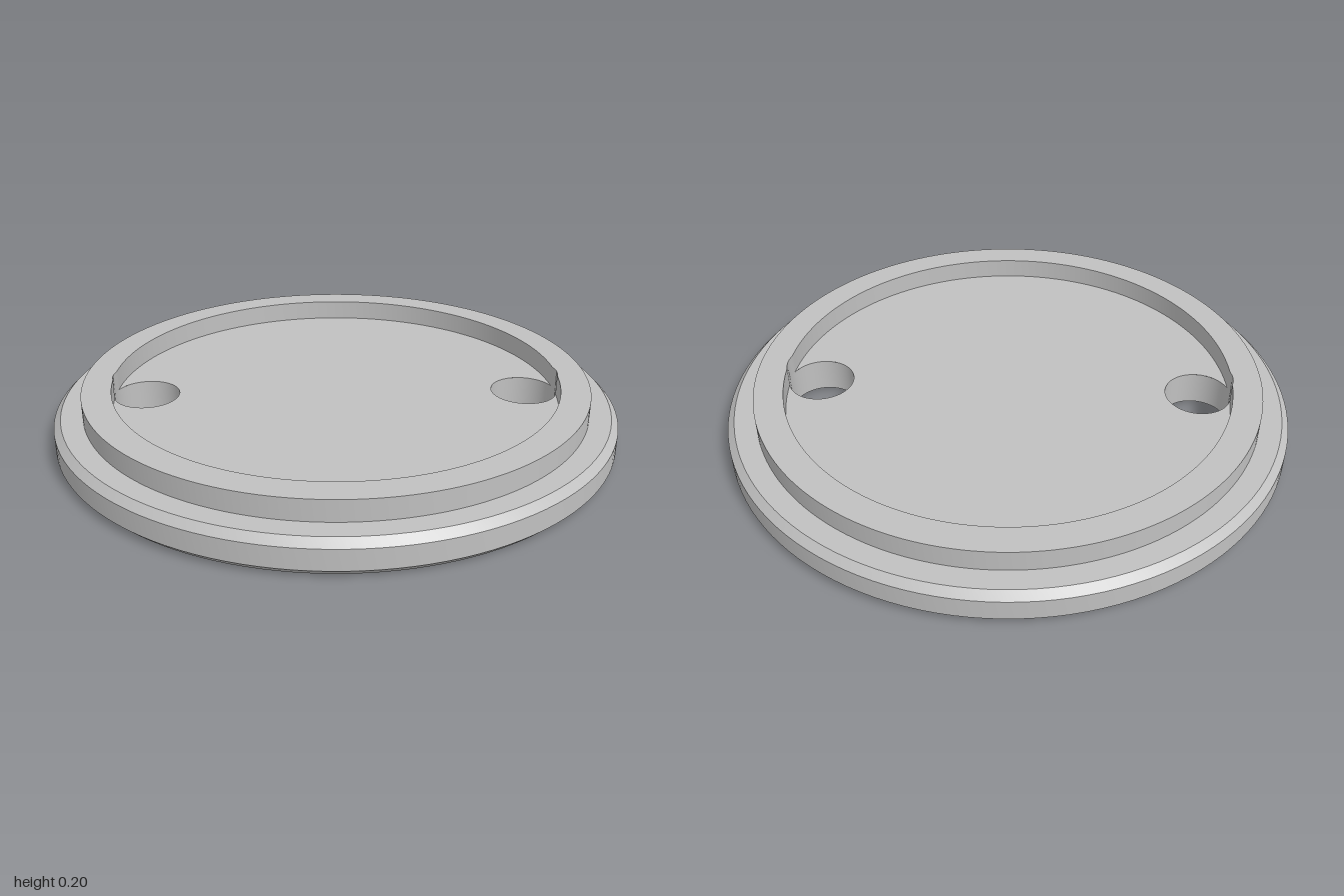
import * as THREE from 'three';
import { toCreasedNormals } from 'three/addons/utils/BufferGeometryUtils.js';

const SEG = 128;
const R = 1, BEVEL = 0.025, PLATE_TOP = 0.122, RING_TOP = 0.196;
const RING_OUTER = 0.9, RING_INNER = 0.797;
const HOLE_R = 0.117, HOLE_POS = [[0.485, -0.485], [-0.485, 0.485]]; // x, z

export function createModel() {
  const model = new THREE.Group();
  model.name = 'roundCover';
  const grey = new THREE.MeshStandardMaterial({ color: 0xc0c0c0 });
  grey.name = 'grey';

  const add = (name, geometry) => {
    const mesh = new THREE.Mesh(geometry, grey);
    mesh.name = name;
    model.add(mesh);
    return mesh;
  };

  // Disc outline pierced by the two holes; sign maps shape y to z
  const discFace = (sign) => {
    const shape = new THREE.Shape().absarc(0, 0, R - BEVEL, 0, Math.PI * 2);
    for (const [x, z] of HOLE_POS) {
      shape.holes.push(new THREE.Path().absarc(x, sign * z, HOLE_R, 0, Math.PI * 2, true));
    }
    return new THREE.ShapeGeometry(shape, SEG / 2).rotateX(-sign * Math.PI / 2);
  };

  // Plate: top and bottom faces with a chamfered rim between them
  add('plateTop', discFace(-1).rotateX(Math.PI).translate(0, PLATE_TOP, 0));
  add('plateBottom', discFace(1).rotateX(Math.PI));
  const rim = [[R - BEVEL, 0], [R, BEVEL], [R, PLATE_TOP - BEVEL], [R - BEVEL, PLATE_TOP]]
    .map(([x, y]) => new THREE.Vector2(x, y));
  add('plateRim', toCreasedNormals(new THREE.LatheGeometry(rim, SEG), 0.5));

  // Hole walls, facing inwards
  for (const [x, z] of HOLE_POS) {
    const wall = [new THREE.Vector2(HOLE_R, PLATE_TOP), new THREE.Vector2(HOLE_R, 0)];
    add('holeWall', new THREE.LatheGeometry(wall, 64)).position.set(x, 0, z);
  }

  // Raised ring, its inside slightly notched where the holes touch it
  const inner = [];
  for (let i = 0; i < SEG * 2; i++) {
    const a = -(i / (SEG * 2)) * Math.PI * 2;
    let r = RING_INNER;
    for (const [x, z] of HOLE_POS) {
      const along = x * Math.cos(a) - z * Math.sin(a);
      const off = x * Math.sin(a) + z * Math.cos(a);
      if (along > 0 && Math.abs(off) < HOLE_R) {
        r = Math.max(r, along + Math.sqrt(HOLE_R ** 2 - off ** 2));
      }
    }
    inner.push(new THREE.Vector2(r * Math.cos(a), r * Math.sin(a)));
  }
  const ring = new THREE.Shape().absarc(0, 0, RING_OUTER, 0, Math.PI * 2);
  ring.holes.push(new THREE.Path(inner));
  const ringGeo = new THREE.ExtrudeGeometry(ring, {
    depth: RING_TOP - PLATE_TOP, bevelEnabled: false, curveSegments: SEG,
  }).rotateX(-Math.PI / 2).translate(0, PLATE_TOP, 0);
  add('raisedRing', toCreasedNormals(ringGeo, 0.5));

  return model;
}
